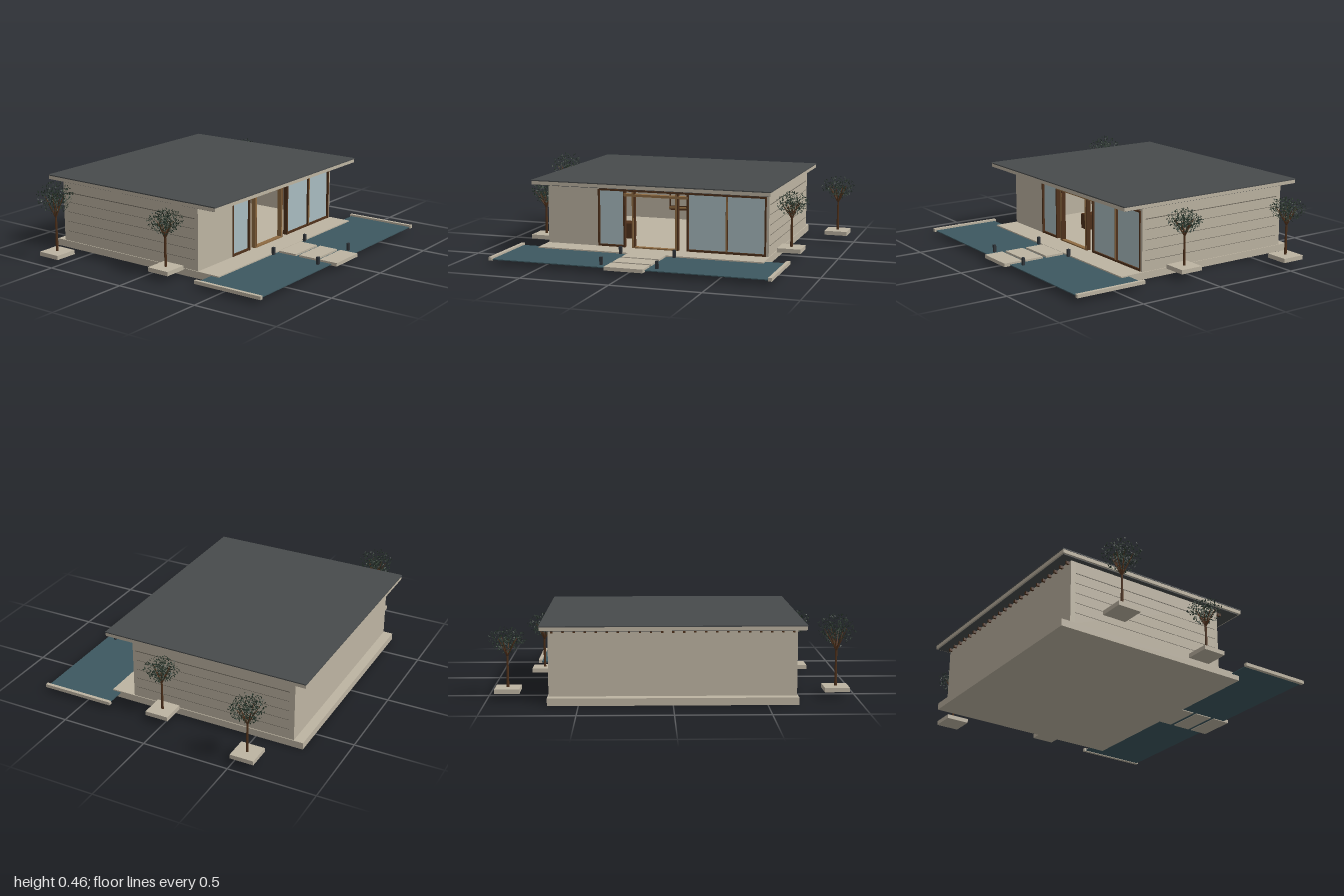
import * as THREE from 'three';

const mat = (name, color, opts = {}) => {
  const m = new THREE.MeshStandardMaterial({ color, ...opts });
  m.name = name;
  return m;
};

export function createModel() {
  const root = new THREE.Group();
  root.name = 'pavilion';
  const stone = mat('stone', 0xbdb4a2);
  const slate = mat('slate', 0x484b4c);
  const water = mat('water', 0x3d5860);
  const glass = mat('glass', 0xa9bcc0);
  const wood = mat('wood', 0x8f6b42);
  const darkWood = mat('darkWood', 0x4f311b);
  const metal = mat('metal', 0x30353a);
  const joint = mat('joint', 0x6d675c);
  const leaf = mat('leaf', 0x2c3a2f, { side: THREE.DoubleSide });

  // Box given by its extents on each axis
  const box = (name, m, x0, x1, y0, y1, z0, z1, parent = root) => {
    const mesh = new THREE.Mesh(new THREE.BoxGeometry(x1 - x0, y1 - y0, z1 - z0), m);
    mesh.position.set((x0 + x1) / 2, (y0 + y1) / 2, (z0 + z1) / 2);
    mesh.name = name;
    parent.add(mesh);
    return mesh;
  };

  // Foundation and walls
  box('foundation', stone, -0.665, 0.665, 0, 0.04, -0.775, 0.4);
  box('backWall', stone, -0.66, 0.66, 0.04, 0.4, -0.72, -0.69);
  box('frontWall', stone, -0.66, -0.345, 0.04, 0.4, 0.235, 0.26);
  box('frontJamb', stone, 0.64, 0.66, 0.04, 0.4, 0.235, 0.26);
  box('header', stone, -0.345, 0.64, 0.375, 0.4, 0.235, 0.258);
  for (const s of [-1, 1]) {
    const x0 = s < 0 ? -0.66 : 0.635;
    box('sideWall', stone, x0, x0 + 0.025, 0.04, 0.4, -0.69, 0.235);
    // Thin joints between the stone courses
    for (const y of [0.1, 0.158, 0.215, 0.273, 0.33]) {
      const h = y === 0.33 ? 0.002 : 0.001;
      box('wallJoint', joint, s * 0.6605 - 0.001, s * 0.6605 + 0.001, y - h, y + h, -0.69, 0.24);
    }
  }

  // Roof slab with dark covering and soffit
  box('roofFascia', stone, -0.7, 0.7, 0.402, 0.422, -0.795, 0.405);
  box('roofCover', slate, -0.702, 0.702, 0.422, 0.428, -0.797, 0.407);
  box('soffit', slate, -0.69, 0.69, 0.398, 0.402, -0.785, 0.395);

  // Rafter ends under the eaves
  for (let i = 0; i < 23; i++) {
    const x = -0.638 + i * 0.058;
    box('rafter', darkWood, x - 0.006, x + 0.006, 0.382, 0.399, 0.255, 0.305);
    box('rafter', darkWood, x - 0.006, x + 0.006, 0.382, 0.399, -0.738, -0.715);
  }

  // Glazing and its frames
  const panes = [[-0.345, -0.19], [0.19, 0.418], [0.418, 0.64]];
  for (const [a, b] of panes) {
    box('glassPane', glass, a + 0.004, b - 0.004, 0.05, 0.366, 0.245, 0.252);
    box('sill', darkWood, a, b, 0.04, 0.052, 0.238, 0.262);
    for (const x of [a, b]) box('mullion', darkWood, x - 0.005, x + 0.005, 0.04, 0.37, 0.238, 0.264);
  }
  box('glazingHead', darkWood, -0.345, 0.645, 0.365, 0.375, 0.236, 0.266);
  box('mullionCap', wood, 0.414, 0.422, 0.052, 0.365, 0.262, 0.267);

  // Entrance portal
  for (const x of [-0.133, 0.127]) {
    box('doorPost', wood, x - 0.008, x + 0.003, 0.04, 0.365, 0.24, 0.268);
    box('doorPostEdge', darkWood, x + 0.003, x + 0.008, 0.04, 0.365, 0.24, 0.266);
  }
  box('doorHead', wood, -0.19, 0.19, 0.338, 0.352, 0.24, 0.268);
  box('threshold', wood, -0.133, 0.127, 0.04, 0.047, 0.24, 0.268);

  // Framed panels on the rear interior wall, and a low cabinet
  for (const x of [-0.165, -0.005, 0.155]) {
    box('panelFrame', darkWood, x - 0.066, x + 0.066, 0.1, 0.31, -0.69, -0.68);
    box('panelFace', stone, x - 0.054, x + 0.054, 0.13, 0.295, -0.68, -0.677);
    box('panelShelf', wood, x - 0.066, x + 0.066, 0.112, 0.122, -0.68, -0.665);
  }
  box('cabinet', darkWood, -0.31, -0.24, 0.04, 0.13, -0.08, 0.01);

  // Reflecting pool with side kerbs
  box('pool', water, -0.78, 0.78, 0.028, 0.033, 0.35, 0.755);
  for (const s of [-1, 1]) {
    box('poolKerb', stone, s * 0.79 - 0.01, s * 0.79 + 0.01, 0.025, 0.044, 0.34, 0.765);
    for (const z of [0.405, 0.7]) {
      box('bollard', metal, s * 0.159 - 0.008, s * 0.159 + 0.008, 0.033, 0.076, z - 0.007, z + 0.007);
    }
  }
  // Stepping slabs
  for (let i = 0; i < 3; i++) {
    const z = 0.41 + i * 0.134;
    box('steppingSlab', stone, -0.11, 0.11, 0.024, 0.044, z, z + 0.112);
  }

  // Trees: planter, trunk, branches and scattered leaves
  let seed = 7;
  const rnd = () => (seed = (seed * 16807) % 2147483647) / 2147483647;
  const limb = (a, b, r0, r1) => {
    const d = b.clone().sub(a);
    const m = new THREE.Mesh(new THREE.CylinderGeometry(r1, r0, d.length(), 6), darkWood);
    m.position.copy(a).addScaledVector(d, 0.5);
    m.quaternion.setFromUnitVectors(new THREE.Vector3(0, 1, 0), d.normalize());
    return m;
  };
  const makeTree = (x, z, fork, radius, height) => {
    const tree = new THREE.Group();
    tree.name = 'tree';
    tree.position.set(x, 0, z);
    box('planter', stone, -0.068, 0.068, 0.036, 0.06, -0.068, 0.068, tree);
    const base = new THREE.Vector3(0, 0.06, 0), top = new THREE.Vector3(0, fork, 0);
    const trunk = limb(base, top, 0.008, 0.006);
    trunk.name = 'trunk';
    tree.add(trunk);
    for (let i = 0; i < 8; i++) {
      const a = (i * Math.PI) / 4 + rnd() * 0.5, r = radius * (0.35 + 0.3 * rnd());
      const tip = new THREE.Vector3(Math.cos(a) * r, fork + height * 0.6, Math.sin(a) * r);
      const branch = limb(top, tip, 0.005, 0.0015);
      branch.name = 'branch';
      tree.add(branch);
    }
    // Leaves are small kites turned at random inside a rounded crown
    const pos = [], v = new THREE.Vector3(), e = new THREE.Euler();
    const kite = [[0, -1], [0.5, 0], [0, 1], [0, -1], [0, 1], [-0.5, 0]];
    for (let i = 0; i < 620; i++) {
      const a = rnd() * Math.PI * 2, c = rnd() * 2 - 1, q = Math.sqrt(1 - c * c);
      const d = Math.pow(rnd(), 0.5), size = 0.005 + 0.003 * rnd();
      const squeeze = c < 0 ? 1 + 0.3 * c : 1;
      const cx = Math.cos(a) * q * d * radius * squeeze;
      const cz = Math.sin(a) * q * d * radius * squeeze;
      const cy = fork + height * (0.56 + 0.46 * c * d);
      e.set(rnd() * 6.28, rnd() * 6.28, rnd() * 6.28);
      for (const [kx, ky] of kite) {
        v.set(kx * size, ky * size, 0).applyEuler(e);
        pos.push(v.x + cx, v.y + cy, v.z + cz);
      }
    }
    const g = new THREE.BufferGeometry();
    g.setAttribute('position', new THREE.Float32BufferAttribute(pos, 3));
    g.computeVertexNormals();
    const crown = new THREE.Mesh(g, leaf);
    crown.name = 'leaves';
    tree.add(crown);
    root.add(tree);
  };
  makeTree(-0.89, -0.56, 0.255, 0.108, 0.2);
  makeTree(0.89, -0.56, 0.23, 0.105, 0.16);
  makeTree(-0.745, 0.105, 0.22, 0.1, 0.16);
  makeTree(0.737, 0.035, 0.225, 0.1, 0.15);

  return root;
}
